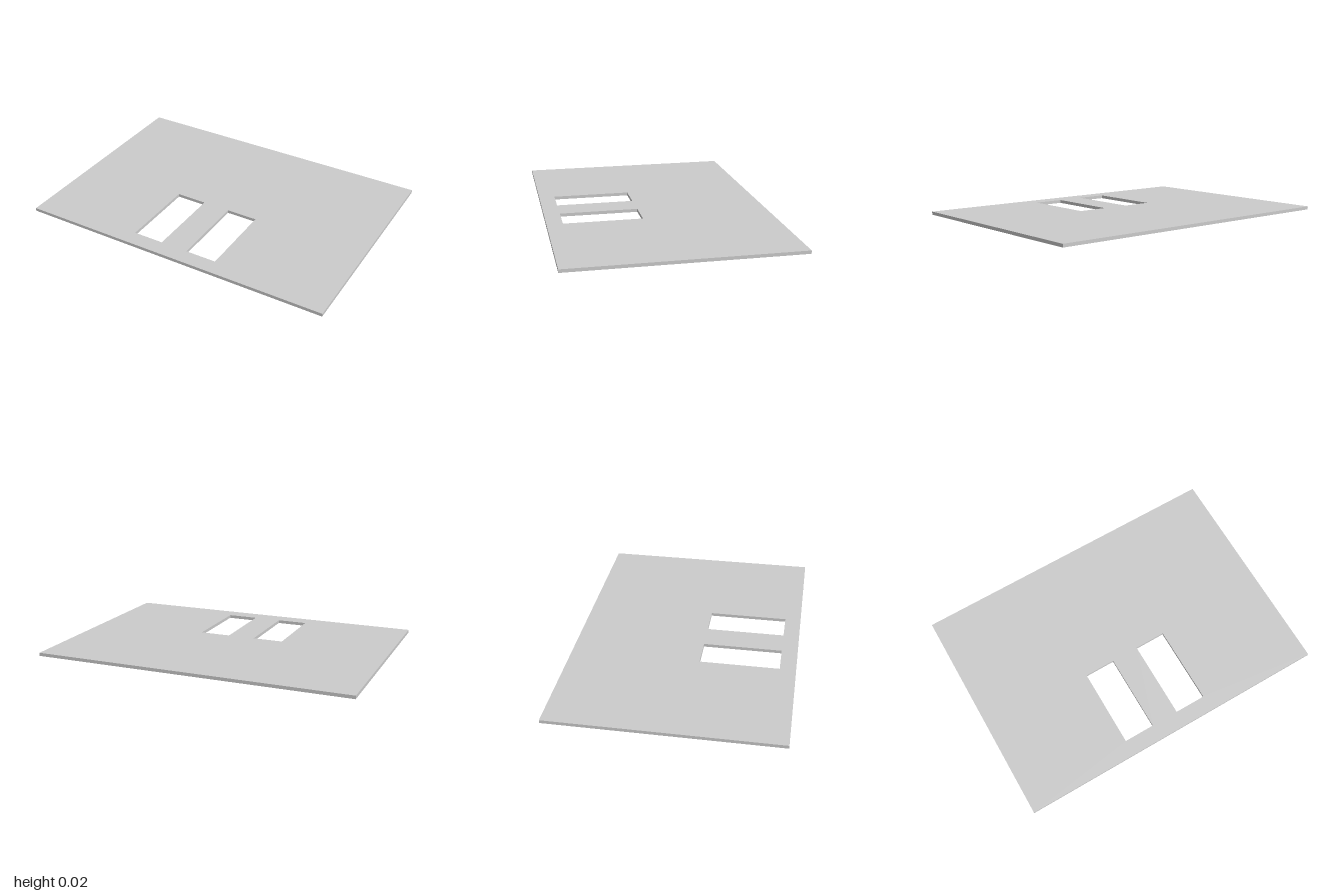
import * as THREE from 'three';

const THICKNESS = 0.02;

// Trace a rectangle given in plan (x, z) onto a shape or path; shape y is -z
function traceRect(path, x0, x1, z0, z1) {
  path.moveTo(x0, -z1);
  path.lineTo(x1, -z1);
  path.lineTo(x1, -z0);
  path.lineTo(x0, -z0);
  path.closePath();
  return path;
}

export function createModel() {
  const group = new THREE.Group();
  group.name = 'slottedPlate';

  // Flat plate outline
  const outline = traceRect(new THREE.Shape(), -1, 1, -0.7, 0.7);

  // Two rectangular cut-outs near the front edge
  for (const [x0, x1] of [[-0.3, -0.105], [0.07, 0.267]]) {
    outline.holes.push(traceRect(new THREE.Path(), x0, x1, 0.107, 0.6));
  }

  const geometry = new THREE.ExtrudeGeometry(outline, { depth: THICKNESS, bevelEnabled: false });
  geometry.rotateX(-Math.PI / 2);

  const plate = new THREE.Mesh(geometry, new THREE.MeshStandardMaterial({ color: 0xcccccc }));
  plate.name = 'plate';
  group.add(plate);
  return group;
}
